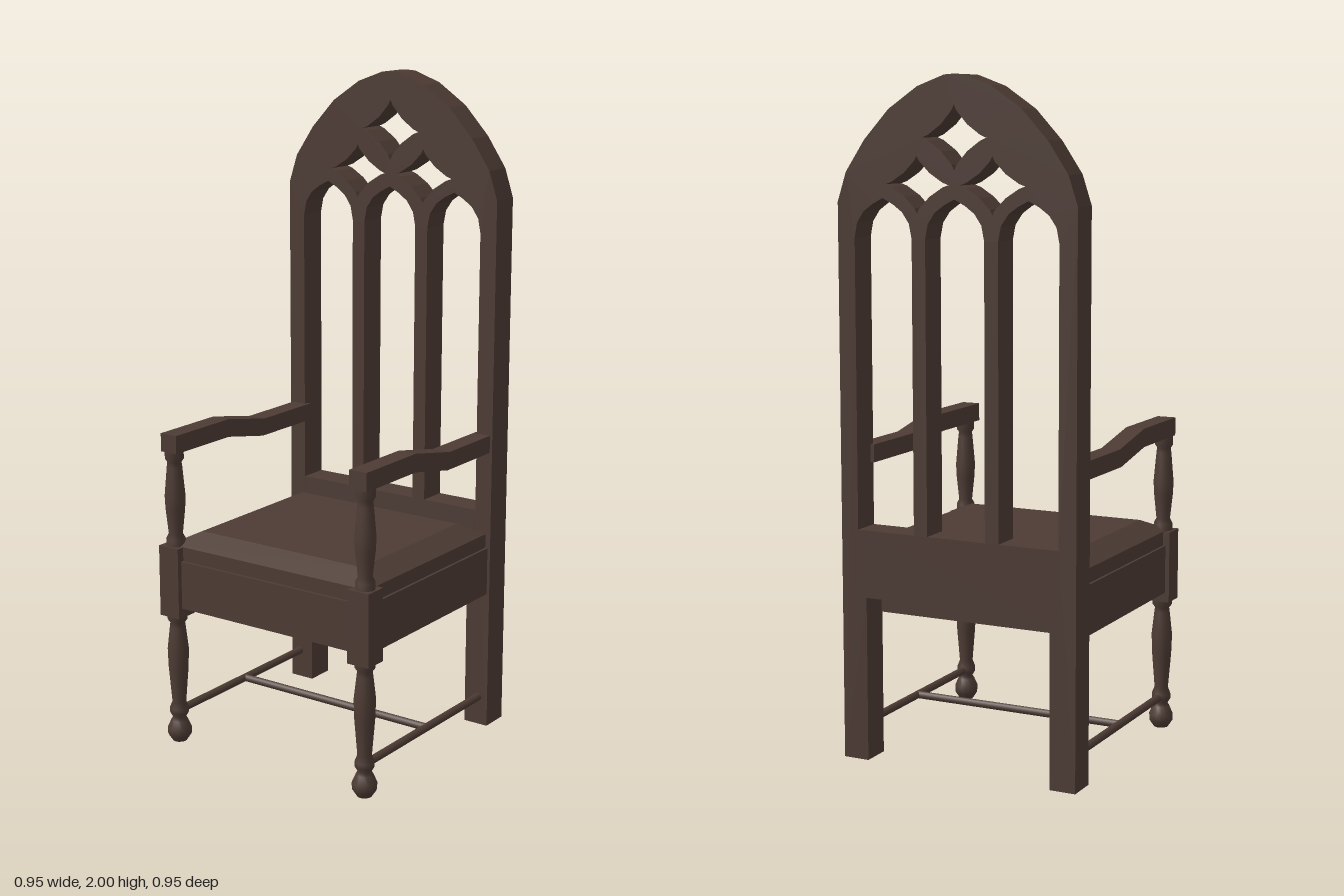
import * as THREE from 'three';

export function createModel() {
  const wood = new THREE.MeshStandardMaterial({ color: 0x4d3b34 });
  wood.name = 'dark wood';
  const model = new THREE.Group();
  model.name = 'chair';
  // the chair stands turned a little to its left
  model.rotation.y = 0.326;

  const add = (name, geometry, x = 0, y = 0, z = 0) => {
    const mesh = new THREE.Mesh(geometry, wood);
    mesh.name = name;
    mesh.position.set(x, y, z);
    model.add(mesh);
    return mesh;
  };
  const box = (name, x0, x1, y0, y1, z0, z1) =>
    add(name, new THREE.BoxGeometry(x1 - x0, y1 - y0, z1 - z0), (x0 + x1) / 2, (y0 + y1) / 2, (z0 + z1) / 2);
  const points = (list) => list.map(([x, y]) => new THREE.Vector2(x, y));
  // closes a right-hand outline running from bottom to top with its mirror image
  const mirrored = (half, cx = 0) => points([
    ...half.map(([x, y]) => [cx + x, y]),
    ...half.filter(([x]) => x > 0).reverse().map(([x, y]) => [cx - x, y]),
  ]);

  // tall back: legs, stiles and arched head in one board
  const back = new THREE.Shape(mirrored([
    [0.295, 0.5], [0.295, 0.01], [0.375, 0.01], [0.375, 1.645], [0.347, 1.73],
    [0.286, 1.82], [0.207, 1.905], [0.115, 1.967], [0.03, 1.998], [0, 2.0],
  ]));

  // three pointed windows
  for (const cx of [-0.228, 0, 0.228]) {
    back.holes.push(new THREE.Path(mirrored([
      [0.0925, 0.7], [0.0925, 1.545], [0.084, 1.588], [0.062, 1.62], [0.033, 1.641], [0, 1.658],
    ], cx)));
  }

  // three four-pointed piercings with hollow sides
  for (const [cx, cy, w, h] of [[0, 1.827, 0.1, 0.09], [-0.118, 1.697, 0.1, 0.08], [0.118, 1.697, 0.1, 0.08]]) {
    const star = [];
    for (let i = 0; i < 16; i++) {
      const a = (i / 16) * Math.PI * 2;
      const c = Math.cos(a), s = Math.sin(a);
      star.push([cx + w * Math.sign(c) * Math.abs(c) ** 2.6, cy + h * Math.sign(s) * Math.abs(s) ** 2.6]);
    }
    back.holes.push(new THREE.Path(points(star)));
  }
  add('back', new THREE.ExtrudeGeometry(back, { depth: 0.09, bevelEnabled: false }), 0, 0, -0.375);

  // seat frame and cushion slab
  box('seatFrame', -0.366, 0.366, 0.44, 0.587, -0.29, 0.355);
  box('seatSlab', -0.358, 0.358, 0.587, 0.63, -0.286, 0.345);

  // sloping top of the seat
  const top = new THREE.BoxGeometry(0.716, 0.035, 0.631);
  const p = top.attributes.position;
  for (let i = 0; i < p.count; i++) {
    if (p.getY(i) > 0) {
      p.setX(i, Math.sign(p.getX(i)) * 0.29);
      p.setZ(i, p.getZ(i) > 0 ? 0.245 : -0.26);
    }
  }
  top.computeVertexNormals();
  add('seatTop', top, 0, 0.6475, 0.0295);

  // shared profiles for the turned posts and the arms
  const leg = new THREE.LatheGeometry(points([
    [0, 0], [0.022, 0.004], [0.036, 0.025], [0.037, 0.045], [0.026, 0.07], [0.02, 0.08],
    [0.029, 0.095], [0.029, 0.11], [0.021, 0.13], [0.03, 0.24], [0.032, 0.3],
    [0.024, 0.37], [0.022, 0.385], [0.03, 0.395], [0.03, 0.42],
  ]), 14);
  const post = new THREE.LatheGeometry(points([
    [0.029, 0.62], [0.029, 0.65], [0.021, 0.665], [0.029, 0.74], [0.031, 0.78],
    [0.023, 0.87], [0.021, 0.885], [0.028, 0.895], [0.028, 0.93],
  ]), 14);
  const arm = new THREE.ExtrudeGeometry(new THREE.Shape(points([
    [0.365, 0.92], [0.365, 0.975], [0.12, 0.975], [-0.06, 0.94],
    [-0.3, 0.94], [-0.3, 0.887], [-0.05, 0.887], [0.12, 0.92],
  ].reverse())), { depth: 0.058, bevelEnabled: false });
  arm.translate(0, 0, -0.029);
  arm.rotateY(-Math.PI / 2);

  for (const [side, s] of [['left', 1], ['right', -1]]) {
    const x = s * 0.343;
    add(side + 'FrontLeg', leg, x, 0, 0.334);
    box(side + 'LegBlock', x - 0.036, x + 0.036, 0.41, 0.629, 0.298, 0.37);
    add(side + 'ArmPost', post, x, 0, 0.334);
    add(side + 'Arm', arm, s * 0.338, 0, 0);
    add(side + 'Stretcher', new THREE.CylinderGeometry(0.012, 0.012, 0.65, 8).rotateX(Math.PI / 2), x, 0.1, 0.01);
  }
  add('crossStretcher', new THREE.CylinderGeometry(0.012, 0.012, 0.686, 8).rotateZ(Math.PI / 2), 0, 0.1, 0.01);

  const root = new THREE.Group();
  root.add(model);
  return root;
}
